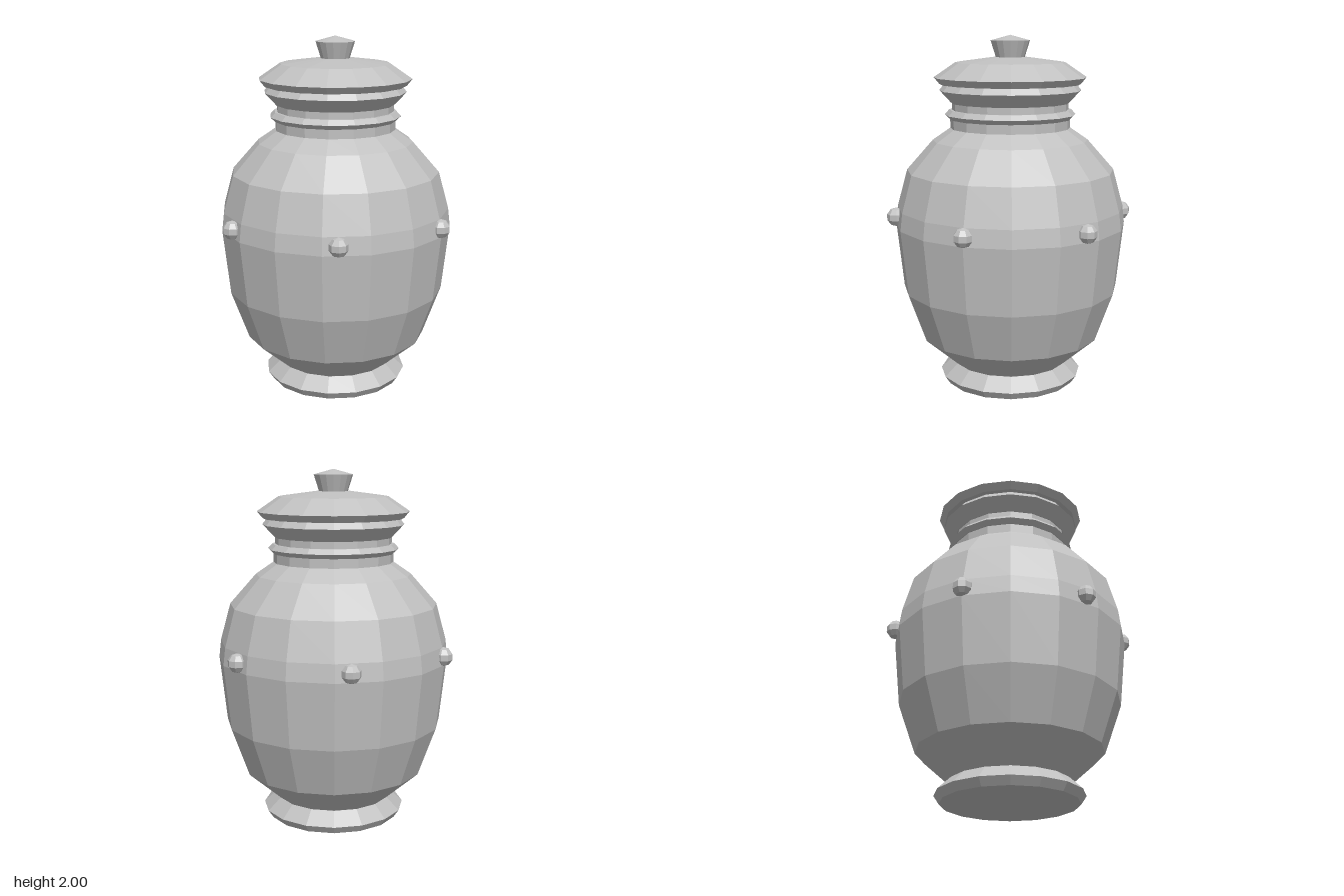
import * as THREE from 'three';

const SIDES = 16;

export function createModel() {
  const group = new THREE.Group();
  const stone = new THREE.MeshStandardMaterial({ color: 0xc0c0c0, flatShading: true });
  stone.name = 'grey clay';

  // Faceted turned part from [radius, height] points, bottom to top
  function turned(name, profile) {
    const points = profile.map(([r, y]) => new THREE.Vector2(r, y));
    const mesh = new THREE.Mesh(new THREE.LatheGeometry(points, SIDES), stone);
    mesh.name = name;
    group.add(mesh);
  }

  turned('foot', [[0, 0], [0.38, 0], [0.41, 0.045], [0.335, 0.115], [0, 0.115]]);

  turned('body', [
    [0.33, 0.112], [0.52, 0.28], [0.62, 0.56], [0.66, 0.935],
    [0.648, 1.035], [0.59, 1.245], [0.44, 1.415], [0.335, 1.487], [0, 1.487],
  ]);

  // Neck with a raised ring and a flared mouth
  turned('neck', [
    [0.34, 1.48], [0.34, 1.535], [0.345, 1.535], [0.37, 1.56], [0.345, 1.587],
    [0.33, 1.587], [0.33, 1.625],
  ]);
  turned('mouth', [[0, 1.625], [0.335, 1.625], [0.4, 1.695], [0.37, 1.732], [0, 1.732]]);

  turned('lid', [[0, 1.73], [0.4, 1.73], [0.43, 1.767], [0.308, 1.85], [0.1, 1.878], [0, 1.88]]);
  turned('knob', [[0.08, 1.875], [0.11, 1.97], [0, 2]]);

  // Ring of six studs around the belly
  const studGeometry = new THREE.SphereGeometry(0.054, 8, 5);
  for (let i = 0; i < 6; i++) {
    const angle = (i * Math.PI) / 3;
    const stud = new THREE.Mesh(studGeometry, stone);
    stud.name = 'stud' + (i + 1);
    stud.position.set(0.655 * Math.cos(angle), 0.985, 0.655 * Math.sin(angle));
    stud.rotation.y = -angle;
    group.add(stud);
  }

  return group;
}
